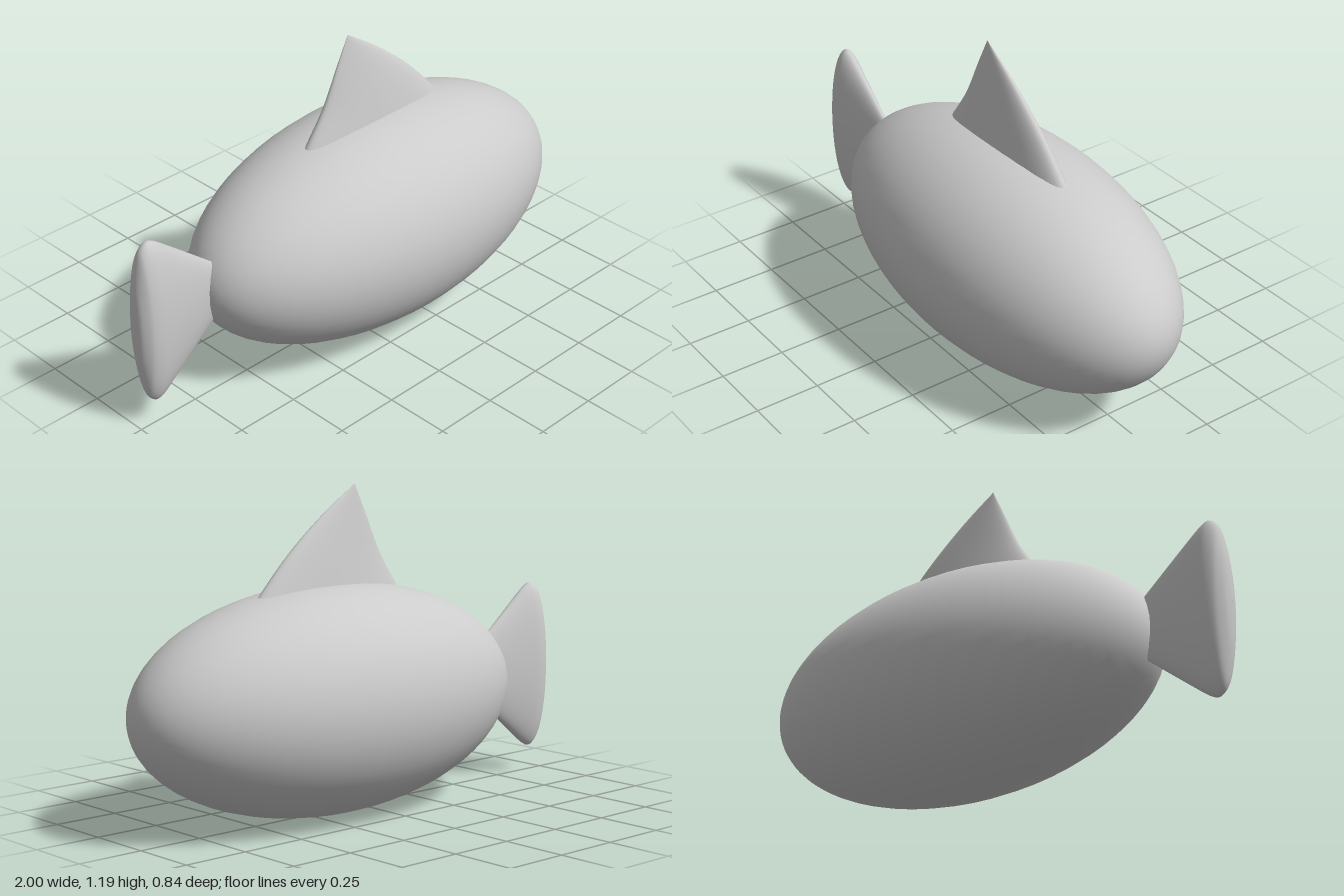
import * as THREE from 'three';

const material = new THREE.MeshStandardMaterial({ color: 0xcccccc, side: THREE.DoubleSide });
const v2 = (x, y) => new THREE.Vector2(x, y);

function addPart(group, name, geometry) {
  const mesh = new THREE.Mesh(geometry, material);
  mesh.name = name;
  group.add(mesh);
  return mesh;
}

// Egg-shaped body, long along x
function bodyGeometry() {
  return new THREE.SphereGeometry(1, 48, 32)
    .rotateZ(Math.PI / 2)
    .scale(0.845, 0.422, 0.422)
    .translate(0.155, 0.424, 0);
}

// Flattened flaring cone with a rounded rear end
function tailGeometry() {
  const flare = [v2(0.001, -0.5), v2(0.05, -0.54), v2(0.125, -0.655), v2(0.215, -0.765), v2(0.3, -0.87)];
  const rim = new THREE.SplineCurve([
    v2(0.3, -0.87), v2(0.321, -0.9), v2(0.33, -0.925), v2(0.315, -0.95), v2(0.275, -0.97),
    v2(0.17, -0.99), v2(0.08, -0.997), v2(0.001, -1),
  ]).getPoints(24);
  const profile = [...flare, ...rim.slice(1)].map((p) => v2(p.x, -p.y));
  return new THREE.LatheGeometry(profile, 48)
    .rotateZ(Math.PI / 2)
    .scale(1, 1, 0.2)
    .translate(0, 0.43, 0);
}

// Dorsal fin: elliptical sections that shrink to a swept-back tip
function finGeometry() {
  const base = 0.74, tip = 1.195;
  const front = new THREE.SplineCurve([v2(0.53, base), v2(0.47, 0.82), v2(0.33, 0.965), v2(0.17, 1.095), v2(0.02, tip)]);
  const back = new THREE.SplineCurve([v2(-0.235, base), v2(-0.18, 0.82), v2(-0.1, 0.94), v2(-0.035, 1.08), v2(0.02, tip)]);
  const geometry = new THREE.CylinderGeometry(1, 1, 1, 40, 20, true);
  const pos = geometry.attributes.position;
  for (let i = 0; i < pos.count; i++) {
    const t = Math.min(1, pos.getY(i) + 0.5);
    const f = front.getPoint(t), b = back.getPoint(t);
    const y0 = (f.y + b.y) / 2, slant = (f.y - b.y) / 2;
    const halfWidth = 0.064 * Math.pow(Math.max(0, (tip - y0) / 0.355), 0.92);
    const c = pos.getX(i);
    pos.setXYZ(i, (f.x + b.x) / 2 + c * (f.x - b.x) / 2, y0 + c * slant, pos.getZ(i) * halfWidth);
  }
  geometry.computeVertexNormals();
  return geometry;
}

export function createModel() {
  const group = new THREE.Group();
  group.name = 'fish';
  addPart(group, 'body', bodyGeometry());
  addPart(group, 'tailFin', tailGeometry());
  addPart(group, 'dorsalFin', finGeometry());
  return group;
}
